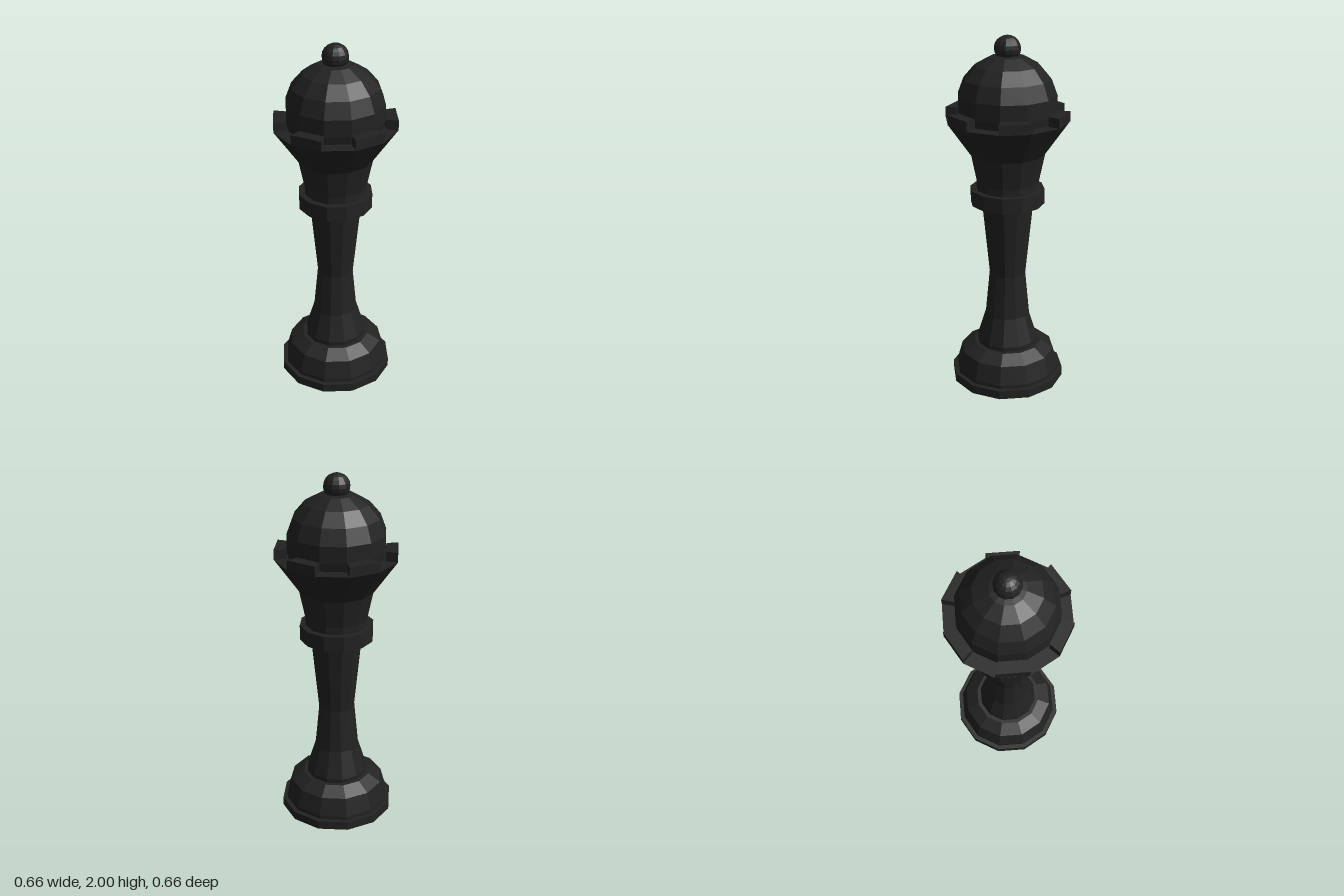
import * as THREE from 'three';

const SIDES = 12;
const HALF = Math.PI / SIDES;
const material = new THREE.MeshStandardMaterial({ color: 0x222222, flatShading: true });

// Twelve-sided turned part; profile is [distance to flat face, height], bottom to top
function turned(name, profile) {
  const points = profile.map(([r, y]) => new THREE.Vector2(r / Math.cos(HALF), y));
  const mesh = new THREE.Mesh(new THREE.LatheGeometry(points, SIDES, HALF), material);
  mesh.name = name;
  return mesh;
}

// Profile of a ball from one latitude (degrees) up to the pole
function ballProfile(radius, centreY, fromDeg, steps) {
  const profile = [];
  for (let i = 0; i <= steps; i++) {
    const a = THREE.MathUtils.degToRad(fromDeg + (90 - fromDeg) * i / steps);
    profile.push([i === steps ? 0 : radius * Math.cos(a), centreY + radius * Math.sin(a)]);
  }
  return profile;
}

export function createModel() {
  const group = new THREE.Group();
  group.name = 'chessPiece';

  group.add(
    turned('foot', [[0, 0], [0.313, 0], [0.313, 0.05], [0, 0.05]]),
    turned('base', [[0.288, 0.05], [0.288, 0.07], [0.26, 0.175], [0.19, 0.22], [0, 0.22]]),
    turned('stem', [[0.168, 0.22], [0.168, 0.245], [0.122, 0.4], [0.099, 0.65], [0.14, 1.08]]),
    turned('collar', [[0, 1.075], [0.2, 1.075], [0.2, 1.16], [0, 1.16]]),
    turned('crown', [[0.168, 1.16], [0.168, 1.2], [0.2, 1.36], [0.328, 1.55], [0, 1.55]]),
    turned('dome', [[0.252, 1.55], ...ballProfile(0.264, 1.64, -10, 5)]),
    turned('finial', ballProfile(0.07, 1.93, -90, 10)),
  );

  // Battlements on every second side of the crown
  const outer = 0.328, inner = 0.263, t = Math.tan(HALF);
  const outline = new THREE.Shape([
    new THREE.Vector2(-inner * t, inner),
    new THREE.Vector2(inner * t, inner),
    new THREE.Vector2(outer * t, outer),
    new THREE.Vector2(-outer * t, outer),
  ]);
  const block = new THREE.ExtrudeGeometry(outline, { depth: 0.055, bevelEnabled: false });
  block.rotateX(-Math.PI / 2);
  for (let i = 0; i < SIDES / 2; i++) {
    const merlon = new THREE.Mesh(block, material);
    merlon.name = 'battlement';
    merlon.position.y = 1.548;
    merlon.rotation.y = i * 4 * HALF;
    group.add(merlon);
  }

  return group;
}
